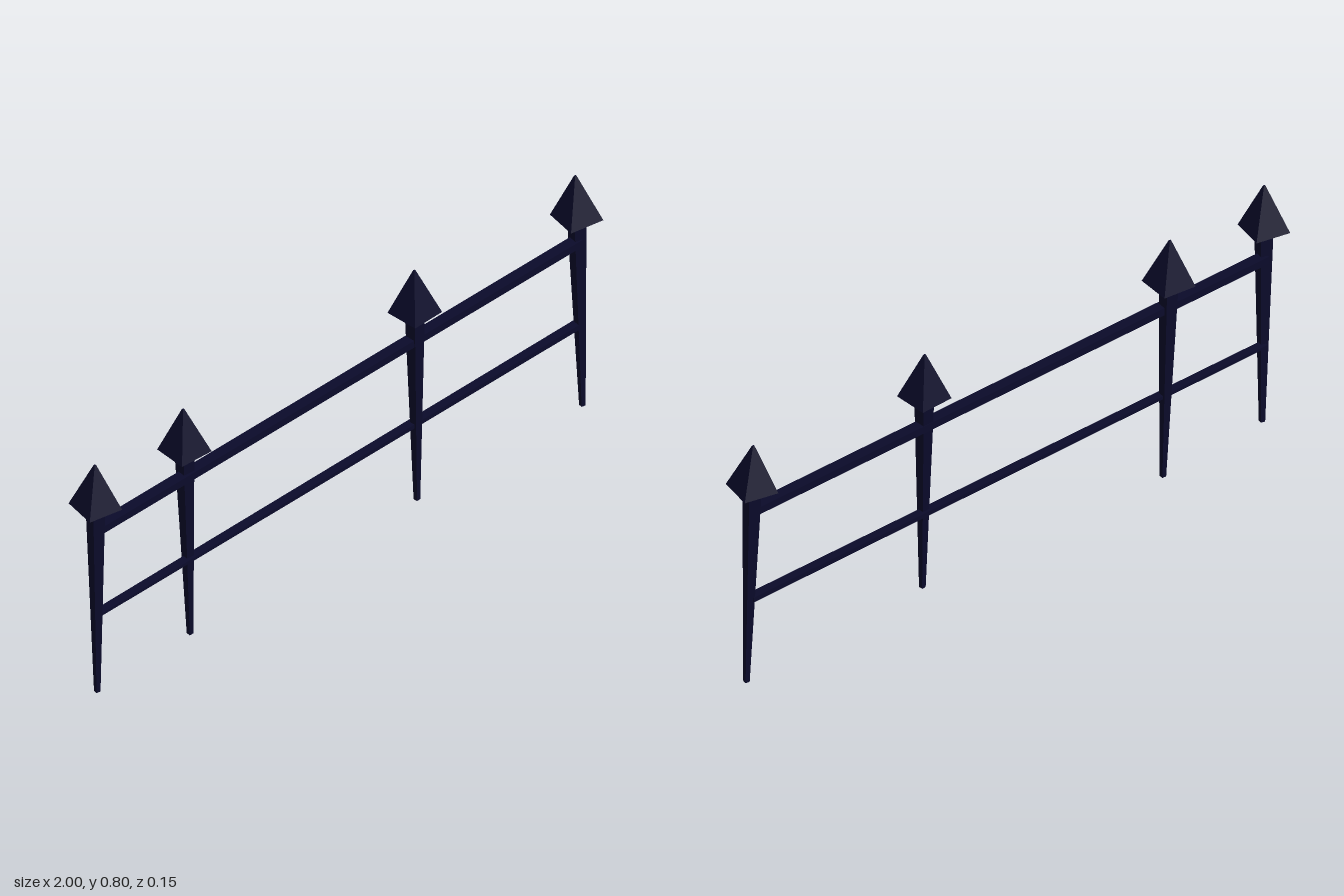
import * as THREE from 'three';

const material = new THREE.MeshStandardMaterial({ color: 0x0a0a2a, flatShading: true });
const UP = new THREE.Vector3(0, 1, 0);

// Four-sided tapered bar standing on its base, given by its side widths
function squareTaper(topSide, bottomSide, height) {
  return new THREE.CylinderGeometry(topSide * Math.SQRT1_2, bottomSide * Math.SQRT1_2, height, 4)
    .rotateY(Math.PI / 4)
    .translate(0, height / 2, 0);
}

function part(name, geometry) {
  const mesh = new THREE.Mesh(geometry, material);
  mesh.name = name;
  return mesh;
}

// Stake narrowing to the ground with a pyramid head, leaning from foot to tip
function createPost(name, foot, tip, yaw) {
  const a = new THREE.Vector3(...foot);
  const axis = new THREE.Vector3(...tip).sub(a);
  const length = axis.length();
  const headHeight = 0.143;
  const post = new THREE.Group();
  post.name = name;
  const shaft = part('shaft', squareTaper(0.039, 0.013, length - headHeight));
  const head = part('spearHead', squareTaper(0.005, 0.106, headHeight));
  head.position.y = length - headHeight;
  post.add(shaft, head);
  post.position.copy(a);
  post.quaternion.setFromUnitVectors(UP, axis.normalize())
    .multiply(new THREE.Quaternion().setFromAxisAngle(UP, yaw));
  return post;
}

// Horizontal bar whose section may differ between its ends: [x, y, z, height, depth]
function createRail(name, left, right) {
  const geometry = new THREE.BoxGeometry(1, 1, 1);
  const p = geometry.attributes.position;
  for (let i = 0; i < p.count; i++) {
    const [x, y, z, h, d] = p.getX(i) < 0 ? left : right;
    p.setXYZ(i, x, y + p.getY(i) * h, z + p.getZ(i) * d);
  }
  geometry.computeVertexNormals();
  return part(name, geometry);
}

export function createModel() {
  const fence = new THREE.Group();
  fence.name = 'fence';

  // Posts, unevenly spaced and slightly crooked
  fence.add(
    createPost('outerRightPost', [-0.933, 0.02, -0.005], [-0.94, 0.8, -0.007], -0.22),
    createPost('innerRightPost', [-0.56, 0.012, -0.013], [-0.58, 0.79, -0.02], -0.1),
    createPost('innerLeftPost', [0.3, 0.023, 0.018], [0.302, 0.802, 0.006], 0),
    createPost('outerLeftPost', [0.943, 0.001, 0.025], [0.932, 0.787, 0.009], -0.22)
  );

  // Rails
  fence.add(
    createRail('upperRail', [-0.935, 0.567, -0.015, 0.023, 0.034], [0.935, 0.567, 0.018, 0.023, 0.034]),
    createRail('lowerRail', [-0.935, 0.279, -0.013, 0.008, 0.027], [0.935, 0.279, 0.016, 0.016, 0.027])
  );
  return fence;
}
